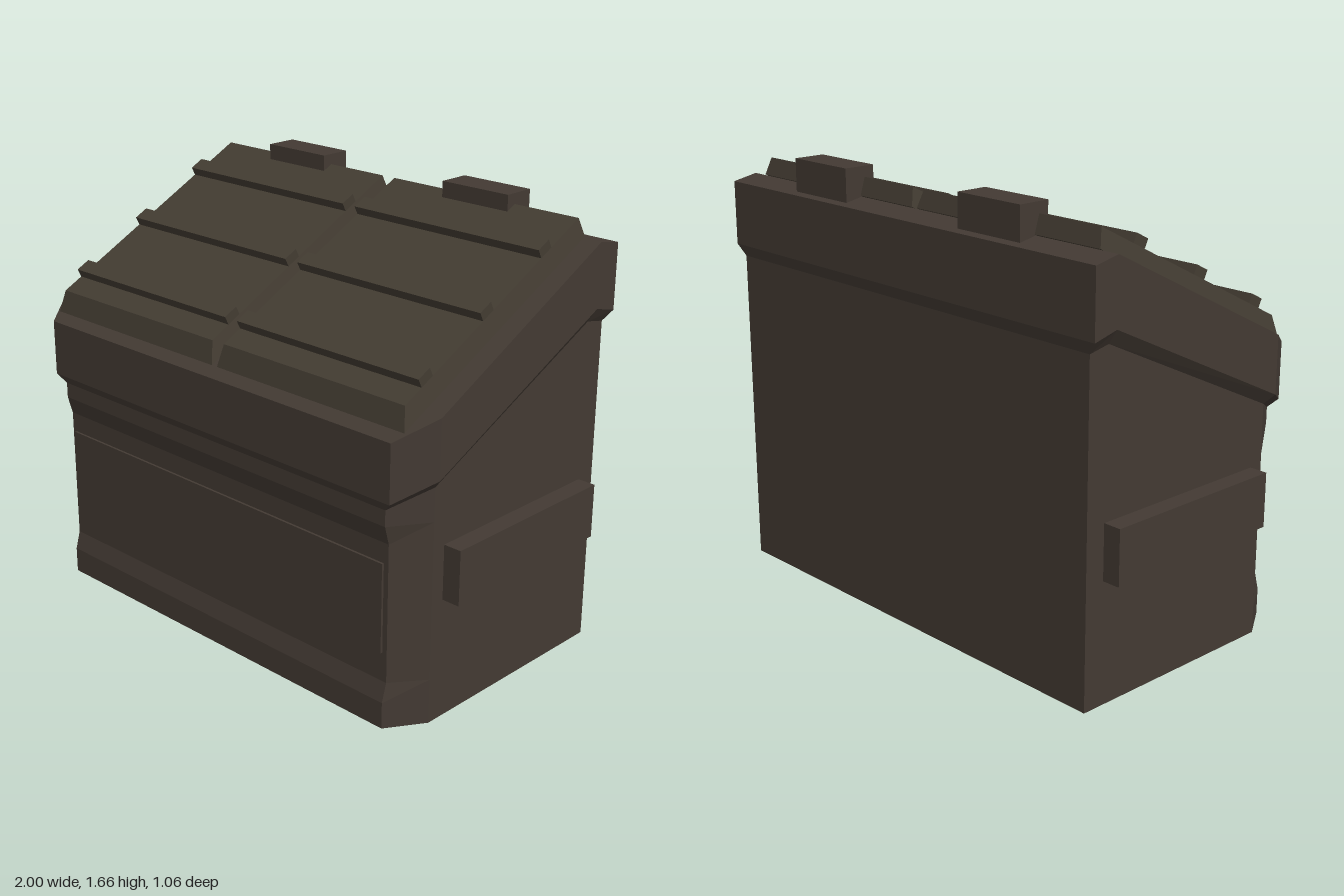
import * as THREE from 'three';

const bodyPaint = new THREE.MeshStandardMaterial({ color: 0x433a33, flatShading: true });
bodyPaint.name = 'dark brown body';
const lidPlastic = new THREE.MeshStandardMaterial({ color: 0x433c32, flatShading: true });
lidPlastic.name = 'dark olive brown lid';

// Closed solid through rings of [x, y, z] points, counter-clockwise seen from above
function loft(rings) {
  const pos = [];
  const quad = (a, b, c, d) => pos.push(...a, ...b, ...c, ...a, ...c, ...d);
  const n = rings[0].length;
  for (let r = 0; r < rings.length - 1; r++) {
    const lo = rings[r], hi = rings[r + 1];
    for (let i = 0; i < n; i++) {
      const j = (i + 1) % n;
      quad(lo[i], lo[j], hi[j], hi[i]);
    }
  }
  const bottom = rings[0], top = rings[rings.length - 1];
  for (let k = 0; k < n / 2 - 1; k++) {
    quad(top[k], top[k + 1], top[n - 2 - k], top[n - 1 - k]);
    quad(bottom[n - 1 - k], bottom[n - 2 - k], bottom[k + 1], bottom[k]);
  }
  const geo = new THREE.BufferGeometry();
  geo.setAttribute('position', new THREE.Float32BufferAttribute(pos, 3));
  geo.computeVertexNormals();
  return geo;
}

// Mirrored ring from its right half, listed front to back
function mirrorRing(half) {
  return [...half, ...half.slice().reverse().map(([x, y, z]) => [-x, y, z])];
}

function mesh(name, geo, mat, parent) {
  const m = new THREE.Mesh(geo, mat);
  m.name = name;
  parent.add(m);
  return m;
}

function box(name, [x0, x1], [y0, y1], [z0, z1], mat, parent) {
  const m = mesh(name, new THREE.BoxGeometry(x1 - x0, y1 - y0, z1 - z0), mat, parent);
  m.position.set((x0 + x1) / 2, (y0 + y1) / 2, (z0 + z1) / 2);
  return m;
}

export function createModel() {
  const group = new THREE.Group();
  group.name = 'dumpster';

  // Container with a recessed front and chamfered front corners
  const bodyRing = (y, front) => mirrorRing([
    [0.84, y, front], [0.93, y, 0.37], [0.93, y, -0.43], [0.93, y, -0.515],
  ]);
  const shoulder = mirrorRing([
    [0.84, 0.82, 0.51], [0.93, 0.885, 0.37], [0.93, 1.262, -0.43], [0.93, 1.245, -0.515],
  ]);
  const container = loft([
    bodyRing(0, 0.51), bodyRing(0.1, 0.51), bodyRing(0.17, 0.49),
    bodyRing(0.69, 0.49), bodyRing(0.76, 0.51), shoulder,
  ]);
  mesh('container', container, bodyPaint, group);

  // Sloping rim that flares out from the shoulder
  const rimLow = mirrorRing([
    [0.875, 0.855, 0.53], [0.965, 0.923, 0.39], [0.965, 1.315, -0.43], [0.965, 1.29, -0.53],
  ]);
  const rimHigh = mirrorRing([
    [0.875, 1.07, 0.53], [0.965, 1.141, 0.39], [0.965, 1.555, -0.43], [0.965, 1.535, -0.53],
  ]);
  mesh('rim', loft([shoulder, rimLow, rimHigh]), bodyPaint, group);

  // Raised front panel
  box('frontPanel', [-0.82, 0.82], [0.28, 0.615], [0.48, 0.499], bodyPaint, group);

  for (const side of [-1, 1]) {
    const label = side > 0 ? 'left' : 'right';
    const span = (a, b) => [side * a, side * b].sort((p, q) => p - q);

    // Fork pocket on the side wall
    box(label + 'ForkPocket', span(0.9, 1), [0.455, 0.66], [-0.435, 0.315], bodyPaint, group);

    // Tapered lid
    const lid = new THREE.Group();
    lid.name = label + 'Lid';
    group.add(lid);
    const [x0, x1] = span(0.013, 0.892);
    const [t0, t1] = span(0.03, 0.875);
    mesh('lidPanel', loft([
      [[x1, 1.096, 0.485], [x1, 1.559, -0.435], [x0, 1.559, -0.435], [x0, 1.096, 0.485]],
      [[t1, 1.18, 0.465], [t1, 1.625, -0.415], [t0, 1.625, -0.415], [t0, 1.18, 0.465]],
    ]), lidPlastic, lid);

    // Ribs across the lid, square to its slope
    const slope = 0.445 / 0.88;
    for (const z of [0.36, 0.06, -0.24]) {
      const rib = mesh('lidRib', new THREE.BoxGeometry(0.845, 0.07, 0.06), lidPlastic, lid);
      rib.position.set(side * 0.4525, 1.18 + (0.465 - z) * slope, z);
      rib.rotation.x = Math.atan(slope);
    }

    // Hinge block
    box(label + 'Hinge', span(0.3, 0.6), [1.5, 1.665], [-0.5, -0.375], bodyPaint, group);
  }
  return group;
}
